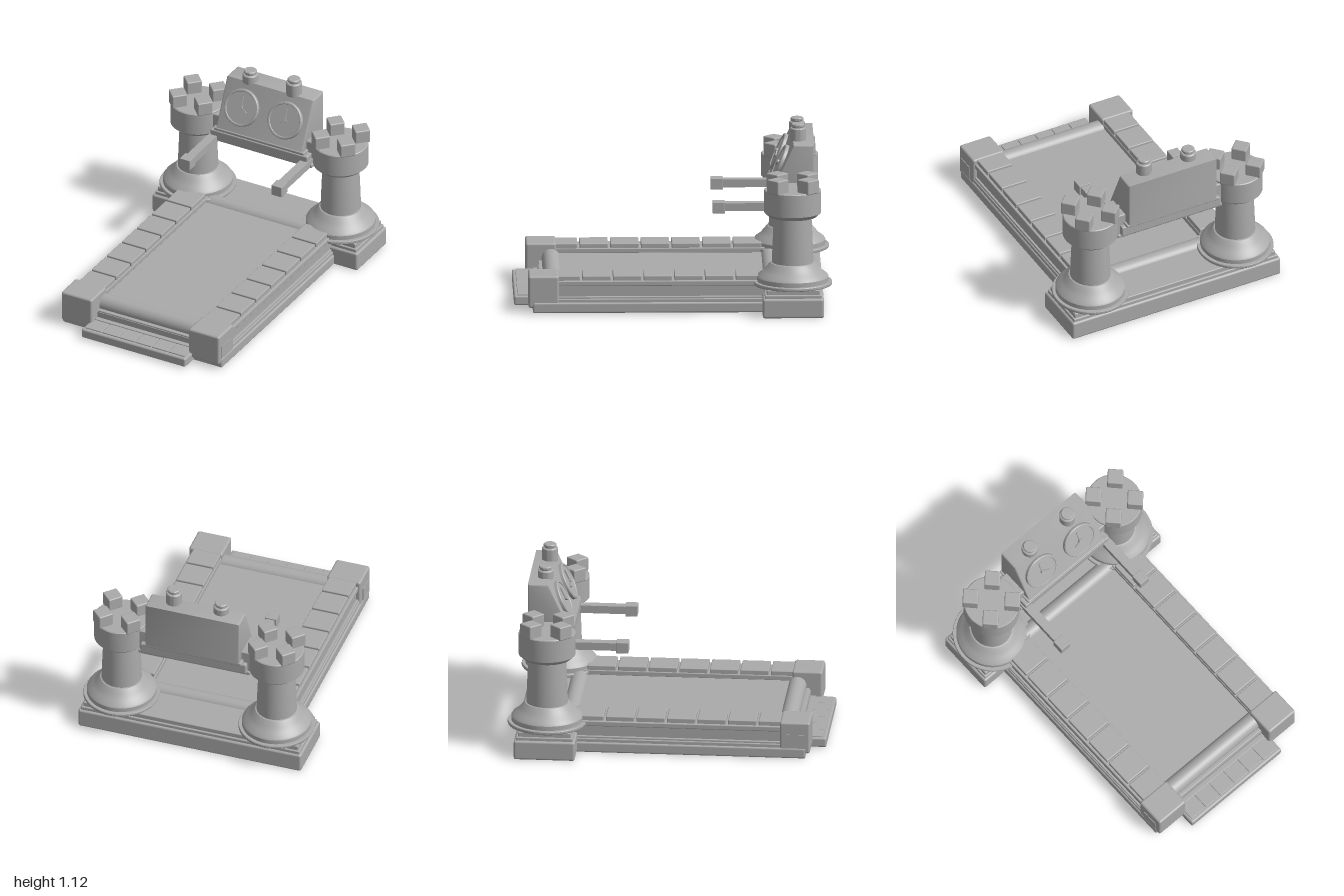
import * as THREE from 'three';
import { RoundedBoxGeometry } from 'three/addons/geometries/RoundedBoxGeometry.js';
import { toCreasedNormals } from 'three/addons/utils/BufferGeometryUtils.js';

const stone = new THREE.MeshStandardMaterial({ color: 0xaaaaaa });
stone.name = 'stone grey';

function add(parent, name, geometry, x = 0, y = 0, z = 0) {
  const mesh = new THREE.Mesh(geometry, stone);
  mesh.name = name;
  mesh.position.set(x, y, z);
  parent.add(mesh);
  return mesh;
}

// Box given by its limits, with optionally rounded edges
function block(parent, name, [x0, x1], [y0, y1], [z0, z1], r = 0) {
  const w = x1 - x0, h = y1 - y0, d = z1 - z0;
  const geo = r ? new RoundedBoxGeometry(w, h, d, 2, r) : new THREE.BoxGeometry(w, h, d);
  return add(parent, name, geo, (x0 + x1) / 2, (y0 + y1) / 2, (z0 + z1) / 2);
}

// Same box on either side: limits are measured outwards from the centre line
function sideBlock(parent, name, side, [x0, x1], ys, zs, r) {
  return block(parent, name, side > 0 ? [x0, x1] : [-x1, -x0], ys, zs, r);
}

function lathe(points, segments = 64) {
  const pts = points.map(([r, y]) => new THREE.Vector2(r, y));
  return toCreasedNormals(new THREE.LatheGeometry(pts, segments), 0.45);
}

// Castle tower with flared foot, crown and four diamond-set merlons
function makeTower(side) {
  const tower = new THREE.Group();
  tower.name = side > 0 ? 'leftTower' : 'rightTower';
  tower.position.set(side * 0.515, 0, -0.75);
  tower.scale.x = 0.965;
  add(tower, 'towerBody', lathe([
    [0, 0.175], [0.246, 0.175], [0.249, 0.18], [0.249, 0.192], [0.246, 0.197], [0.226, 0.197],
    [0.226, 0.225], [0.218, 0.237], [0.19, 0.258], [0.165, 0.285], [0.147, 0.308], [0.14, 0.315],
    [0.131, 0.317], [0.126, 0.45], [0.119, 0.61], [0.15, 0.611], [0.179, 0.637],
    [0.179, 0.78], [0.174, 0.785], [0, 0.785],
  ]));
  for (const x of [-1, 1]) for (const z of [-1, 1]) {
    const merlon = add(tower, 'merlon', new RoundedBoxGeometry(0.1, 0.09, 0.1, 2, 0.008),
      x * 0.095, 0.823, z * 0.095);
    merlon.rotation.y = Math.PI / 4;
  }
  return tower;
}

// Dial with rim and two clock hands, facing +z before it is tilted
function makeDial(x, shortAngle) {
  const dial = new THREE.Group();
  dial.name = 'dial';
  const disc = add(dial, 'dialFace', lathe([
    [0, 0], [0.12, 0], [0.12, 0.018], [0.115, 0.023], [0.106, 0.023], [0.103, 0.018], [0, 0.018],
  ], 48));
  disc.rotation.x = Math.PI / 2;
  const hand = (name, length, angle) => {
    const geo = new THREE.BoxGeometry(0.012, length, 0.008).translate(0, length / 2, 0.022);
    add(dial, name, geo).rotation.z = angle;
  };
  hand('longHand', 0.075, 0);
  hand('shortHand', 0.055, shortAngle);
  const hub = add(dial, 'hub', new THREE.CylinderGeometry(0.014, 0.014, 0.012, 24), 0, 0, 0.024);
  hub.rotation.x = Math.PI / 2;
  dial.position.set(x, 0.87, -0.685);
  dial.rotation.x = -0.437;
  return dial;
}

function makeConsole() {
  const group = new THREE.Group();
  group.name = 'console';

  // Wedge-shaped housing: side profile (z, y) extruded across x
  const b = 0.012;
  const profile = new THREE.Shape();
  [[-0.89 + b, 0.71 + b], [-0.62 - b, 0.71 + b], [-0.755 - b, 1.02 - b], [-0.89 + b, 1.02 - b]]
    .forEach(([z, y], i) => (i ? profile.lineTo(-z, y) : profile.moveTo(-z, y)));
  const housing = new THREE.ExtrudeGeometry(profile, {
    depth: 0.626 - 2 * b, bevelSize: b, bevelThickness: b, bevelSegments: 3,
  }).translate(0, 0, -0.313 + b).rotateY(Math.PI / 2);
  add(group, 'housing', toCreasedNormals(housing, 0.6));

  block(group, 'housingFoot', [-0.325, 0.325], [0.695, 0.715], [-0.89, -0.612], 0.006);
  block(group, 'crossBeam', [-0.35, 0.35], [0.625, 0.695], [-0.87, -0.61], 0.008);
  block(group, 'beamLip', [-0.37, 0.37], [0.605, 0.63], [-0.85, -0.635], 0.006);
  block(group, 'rearBeam', [-0.4, 0.4], [0.63, 0.772], [-0.84, -0.67], 0.008);

  group.add(makeDial(-0.16, -2.1), makeDial(0.155, 2.1));

  // Push buttons on top, of unequal height
  for (const [x, shoulder] of [[-0.16, 1.068], [0.155, 1.1]]) {
    add(group, 'button', lathe([
      [0.05, 1.01], [0.05, shoulder - 0.006], [0.044, shoulder], [0.036, shoulder],
      [0.036, shoulder + 0.005], [0.041, shoulder + 0.009], [0.041, shoulder + 0.02],
      [0.036, shoulder + 0.025], [0, shoulder + 0.025],
    ], 32), x, 0, -0.79);
  }

  // Handles reaching forward
  for (const side of [-1, 1]) {
    sideBlock(group, 'handle', side, [0.3, 0.358], [0.608, 0.658], [-0.68, -0.3]);
    sideBlock(group, 'handleGrip', side, [0.294, 0.368], [0.595, 0.666], [-0.327, -0.25], 0.003);
  }
  return group;
}

function makeDeck() {
  const deck = new THREE.Group();
  deck.name = 'deck';
  block(deck, 'skirt', [-0.575, 0.575], [0.002, 0.07], [-0.9, 0.885], 0.012);
  block(deck, 'beltBed', [-0.37, 0.37], [0.05, 0.12], [-0.7, 0.84]);
  block(deck, 'belt', [-0.36, 0.36], [0.11, 0.175], [-0.64, 0.76]);

  // Rollers at both ends of the belt
  for (const z of [-0.62, 0.755]) {
    const roller = add(deck, 'roller', new THREE.CylinderGeometry(0.058, 0.058, 0.72, 40), 0, 0.146, z);
    roller.rotation.z = Math.PI / 2;
  }
  block(deck, 'rollerCradle', [-0.36, 0.36], [0.07, 0.13], [0.72, 0.835], 0.006);
  block(deck, 'cradleLip', [-0.36, 0.36], [0.06, 0.083], [0.8, 0.87], 0.004);

  // Front step with tread plates
  block(deck, 'frontStep', [-0.375, 0.375], [0.008, 0.07], [0.8, 1], 0.012);
  for (let i = 0; i < 6; i++) {
    const x = -0.36 + i * 0.12;
    block(deck, 'stepPlate', [x + 0.002, x + 0.118], [0.066, 0.077], [0.865, 0.978], 0.003);
  }

  for (const side of [-1, 1]) {
    // Stepped rail
    sideBlock(deck, 'railFoot', side, [0.355, 0.565], [0.06, 0.092], [-0.7, 0.8], 0.006);
    sideBlock(deck, 'railLedge', side, [0.355, 0.557], [0.08, 0.105], [-0.7, 0.8], 0.005);
    sideBlock(deck, 'railWall', side, [0.358, 0.543], [0.09, 0.175], [-0.7, 0.8]);
    sideBlock(deck, 'railCap', side, [0.355, 0.556], [0.172, 0.205], [-0.7, 0.8], 0.006);
    // Paving tiles along the rail
    for (let i = 0; i < 7; i++) {
      const z = -0.578 + i * 0.193;
      sideBlock(deck, 'railTile', side, [0.36, 0.54], [0.2, 0.235], [z + 0.007, z + 0.186], 0.006);
    }
    // Front corner post with a framed panel on the outside
    sideBlock(deck, 'cornerPost', side, [0.348, 0.57], [0.035, 0.24], [0.722, 0.913], 0.014);
    sideBlock(deck, 'cornerPanel', side, [0.565, 0.574], [0.07, 0.16], [0.77, 0.88]);
  }
  return deck;
}

export function createModel() {
  const model = new THREE.Group();
  model.name = 'castleTreadmill';
  model.add(makeDeck());

  // Plinth under the towers
  block(model, 'plinth', [-0.74, 0.74], [0, 0.125], [-0.943, -0.558], 0.014);
  block(model, 'plinthStep', [-0.725, 0.725], [0.12, 0.146], [-0.93, -0.572], 0.006);
  block(model, 'plinthTop', [-0.713, 0.713], [0.14, 0.176], [-0.918, -0.584], 0.006);

  model.add(makeTower(-1), makeTower(1), makeConsole());
  return model;
}
